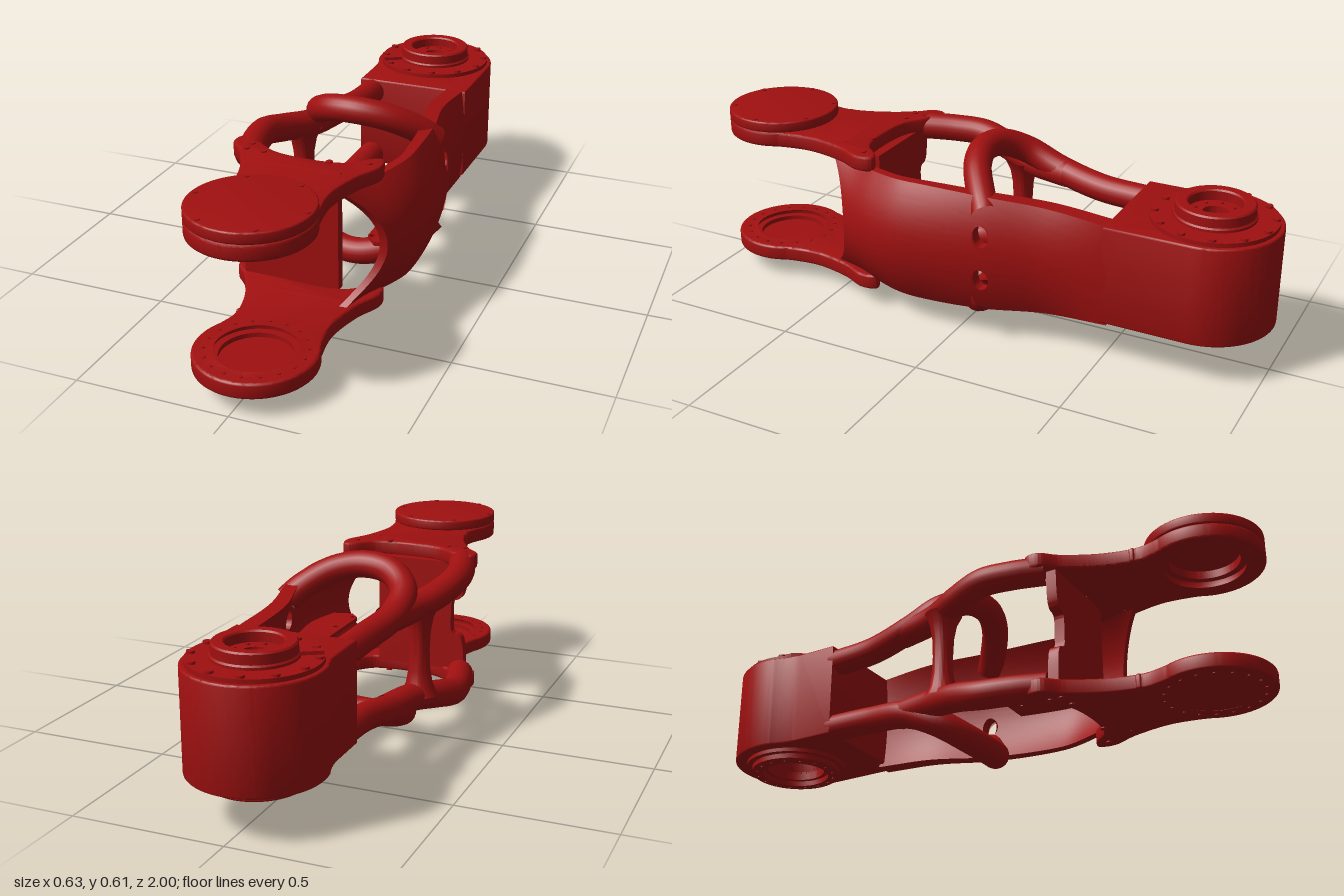
import * as THREE from 'three';
import { toCreasedNormals } from 'three/addons/utils/BufferGeometryUtils.js';

const MID = 0.306; // height of the horizontal mirror plane
const red = new THREE.MeshStandardMaterial({ color: 0xa01010, side: THREE.DoubleSide });
const V = (p) => new THREE.Vector3(...p);

export function createModel() {
  const model = new THREE.Group();
  const add = (name, geo, x = 0, y = 0, z = 0, parent = model) => {
    const mesh = new THREE.Mesh(toCreasedNormals(geo, 0.6), red);
    mesh.name = name;
    mesh.position.set(x, y, z);
    parent.add(mesh);
    return mesh;
  };
  const circleHole = (shape, x, z, r, seg) => {
    shape.holes.push(new THREE.Path().absarc(x, -z, r, 0, Math.PI * 2, true));
    return shape;
  };
  // Plan shape (x, -z) extruded upwards between two heights
  const slab = (shape, y0, y1, bevel = 0) => {
    const g = new THREE.ExtrudeGeometry(shape, {
      depth: y1 - y0 - 2 * bevel, bevelEnabled: bevel > 0, bevelSize: bevel, bevelOffset: -bevel,
      bevelThickness: bevel, bevelSegments: 3, curveSegments: 40 });
    return g.rotateX(-Math.PI / 2).translate(0, y0 + bevel, 0);
  };
  const disc = (x, z, r) => new THREE.Shape().absarc(x, -z, r, 0, Math.PI * 2, false);
  const lathe = (pts) => new THREE.LatheGeometry(pts.map((p) => new THREE.Vector2(...p)), 64);
  const boltRing = (name, n, R, r, y, z, h, phase = 0) => {
    for (let i = 0; i < n; i++) {
      const a = phase + (i / n) * Math.PI * 2;
      add(name, new THREE.CylinderGeometry(r, r, h, 12), R * Math.cos(a), y, z + R * Math.sin(a));
    }
  };

  // Rear joint housing: barrel merging into a square block, with a wide bore
  const hz = -0.785;
  const body = new THREE.Shape();
  body.moveTo(0.212, 0.5);
  body.lineTo(0.215, -hz);
  body.absarc(0, -hz, 0.215, 0, Math.PI + 0.2, false);
  body.quadraticCurveTo(-0.19, 0.69, -0.19, 0.64);
  body.lineTo(-0.19, 0.5);
  body.closePath();
  circleHole(body, 0, hz, 0.1);
  add('rearHousing', slab(body, 0.147, 0.478, 0.006));
  add('rearTopFlange', lathe([[0.04, 0.44], [0.1, 0.44], [0.1, 0.476], [0.2, 0.476], [0.2, 0.492], [0.13, 0.492],
    [0.13, 0.5], [0.125, 0.505], [0.125, 0.535], [0.12, 0.54], [0.09, 0.54], [0.085, 0.535], [0.085, 0.505],
    [0.04, 0.505], [0.04, 0.44]]), 0, 0, hz);
  add('rearBottomRing', lathe([[0.1, 0.16], [0.1, 0.13], [0.115, 0.13], [0.115, 0.112], [0.15, 0.112],
    [0.155, 0.117], [0.155, 0.134], [0.175, 0.134], [0.175, 0.16]]), 0, 0, hz);
  boltRing('flangeBolt', 12, 0.185, 0.013, 0.49, hz, 0.02, 0.26);
  boltRing('hubBolt', 8, 0.065, 0.006, 0.506, hz, 0.008);
  boltRing('bottomRingBolt', 16, 0.135, 0.006, 0.112, hz, 0.006);
  const key = add('flangeKey', new THREE.BoxGeometry(0.09, 0.014, 0.03), -0.13, 0.496, hz + 0.075);
  key.rotation.y = 0.55;

  // Front clevis plates: round lug, waist and wide root
  const fz = 0.81;
  const plateShape = () => {
    const s = new THREE.Shape();
    s.absarc(0, -fz, 0.19, 0.5, Math.PI - 0.5, true);
    s.splineThru([[-0.15, -0.64], [-0.175, -0.53], [-0.23, -0.42], [-0.28, -0.36], [-0.27, -0.31], [-0.2, -0.335],
      [-0.12, -0.385], [0, -0.4], [0.11, -0.385], [0.17, -0.33], [0.21, -0.32], [0.22, -0.38], [0.18, -0.47],
      [0.153, -0.6], [0.167, -0.719]].map((p) => new THREE.Vector2(...p)));
    circleHole(s, 0, fz, 0.135);
    [[-0.145, 0.625], [0.13, 0.47]].forEach(([x, z]) => circleHole(s, x, z, 0.011));
    return s;
  };
  add('upperPlate', slab(plateShape(), 0.5, 0.552, 0.008));
  add('lowerPlate', slab(plateShape(), 0.064, 0.116, 0.008));
  add('upperCap', slab(disc(0, fz, 0.19), 0.552, 0.588, 0.005));
  add('lowerFloor', slab(disc(0, fz, 0.14), 0.068, 0.085));
  add('lowerLip', slab(circleHole(disc(0, fz, 0.14), 0, fz, 0.112), 0.08, 0.1));
  add('upperLip', slab(circleHole(disc(0, fz, 0.14), 0, fz, 0.112), 0.525, 0.555));
  boltRing('capBolt', 6, 0.173, 0.009, 0.588, fz, 0.006);
  boltRing('lowerBolt', 18, 0.155, 0.006, 0.116, fz, 0.006);
  boltRing('lowerBoltUnder', 18, 0.155, 0.006, 0.064, fz, 0.006);
  for (const [x, z] of [[-0.215, 0.36], [-0.215, 0.4], [-0.155, 0.405], [0.065, 0.405], [0.18, 0.37]]) {
    for (const y of [0.552, 0.064]) add('plateScrew', new THREE.CylinderGeometry(0.011, 0.011, 0.008, 12), x, y, z);
  }

  // Web between the plates, flared to the left where it meets them
  const web = new THREE.Shape();
  web.moveTo(0.09, 0.11);
  web.lineTo(0.09, 0.505);
  web.lineTo(-0.235, 0.505);
  web.bezierCurveTo(-0.235, 0.4, -0.23, 0.37, -0.2, 0.37);
  web.quadraticCurveTo(-0.185, 0.365, -0.185, 0.34);
  web.lineTo(-0.185, 0.27);
  web.quadraticCurveTo(-0.185, 0.247, -0.2, 0.242);
  web.bezierCurveTo(-0.23, 0.242, -0.235, 0.21, -0.235, 0.11);
  add('frontWeb', new THREE.ExtrudeGeometry(web, { depth: 0.035, bevelEnabled: false }), 0, 0, 0.365);

  // Tubular truss on the left, mirrored above and below
  const tube = (name, pts, r) => {
    for (const s of [1, -1]) {
      const path = new THREE.CatmullRomCurve3(pts.map(([x, y, z]) => V([x, MID + s * (y - MID), z])));
      add(name, new THREE.TubeGeometry(path, 60, r, 20));
    }
  };
  tube('archedRail', [[-0.145, 0.43, -0.52], [-0.152, 0.437, -0.35], [-0.18, 0.465, -0.18], [-0.17, 0.515, -0.07],
    [-0.1, 0.556, -0.005], [0, 0.566, 0.012], [0.1, 0.545, -0.015], [0.19, 0.49, -0.075], [0.23, 0.45, -0.11]], 0.046);
  tube('sideRail', [[-0.17, 0.455, -0.22], [-0.205, 0.46, -0.07], [-0.25, 0.482, 0.05], [-0.27, 0.504, 0.15],
    [-0.257, 0.508, 0.25], [-0.225, 0.51, 0.36]], 0.047);
  add('sidePost', lathe([[0.062, 0.155], [0.045, 0.19], [0.036, 0.24], [0.033, MID], [0.036, 0.372], [0.045, 0.422],
    [0.062, 0.457]]), -0.214, 0, -0.03);

  // Curved shell on the right, with two oval holes and a concave front edge
  const rows = [ // z, outer x at mid height, bulge, half height, thickness
    [-0.52, 0.212, 0.012, 0.17, 0.06], [-0.3, 0.235, 0.04, 0.185, 0.055], [-0.1, 0.282, 0.05, 0.2, 0.045],
    [0.1, 0.313, 0.065, 0.207, 0.035], [0.2, 0.316, 0.07, 0.206, 0.03], [0.3, 0.298, 0.08, 0.202, 0.03],
    [0.4, 0.262, 0.085, 0.197, 0.026], [0.5, 0.215, 0.06, 0.192, 0.024]];
  const table = new THREE.CubicInterpolant(rows.map((r) => r[0]), rows.flatMap((r) => r.slice(1)), 4);
  const holes = [-1, 1].map((s) => ({ z: -0.11, y: MID + s * 0.075, rz: 0.028, ry: 0.038 }));
  const M = 110, N = 48, L = 2 * N + 2, pos = [], inHole = [], idx = [];
  for (let i = 0; i <= M; i++) {
    for (let k = 0; k < L; k++) {
      const inner = k > N, t = ((inner ? L - 1 - k : k) / N) * 2 - 1;
      let z = THREE.MathUtils.lerp(-0.52, 0.41 + 0.09 * t * t, i / M);
      let y = MID + t * table.evaluate(z)[2], hit = false;
      for (const h of holes) {
        const d = Math.hypot((z - h.z) / h.rz, (y - h.y) / h.ry);
        if (d < 1) {
          hit = true;
          z = h.z + (z - h.z) / (d || 1);
          y = h.y + (y - h.y) / (d || 1);
        }
      }
      const [x, bulge, half, thick] = table.evaluate(z);
      pos.push(x - bulge * ((y - MID) / half) ** 2 - (inner ? thick : 0), y, z);
      inHole.push(hit);
    }
  }
  const quad = (a, b, c, d) => {
    if (![a, b, c, d].every((n) => inHole[n])) idx.push(a, b, c, a, c, d);
  };
  for (let i = 0; i < M; i++) {
    for (let k = 0; k < L; k++) {
      const a = i * L + k, b = i * L + ((k + 1) % L);
      quad(a, b, b + L, a + L);
    }
  }
  for (let j = 0; j < N; j++) {
    const o = M * L;
    quad(o + j, o + j + 1, o + L - 2 - j, o + L - 1 - j);
  }
  const shell = new THREE.BufferGeometry();
  shell.setAttribute('position', new THREE.Float32BufferAttribute(pos, 3));
  shell.setIndex(idx);
  shell.computeVertexNormals();
  add('sideShell', shell);
  for (const h of holes) {
    const sleeve = new THREE.CylinderGeometry(1, 1, 0.04, 32, 1, true).rotateZ(Math.PI / 2).scale(1, h.ry, h.rz);
    add('shellHoleSleeve', sleeve, 0.246, h.y, h.z);
  }

  // Flat cable rib inside the shell
  const rib = new THREE.Shape([[0.155, 0], [0.155, -0.31], [0.19, -0.35], [0.265, -0.33], [0.29, -0.2], [0.28, -0.08],
    [0.27, 0]].map((p) => new THREE.Vector2(...p)));
  [[0.17, 0.045], [0.18, 0.18], [0.17, 0.31]].forEach(([x, z]) => circleHole(rib, x, z, 0.01));
  add('cableRib', slab(rib, 0.265, 0.278));

  return model;
}
